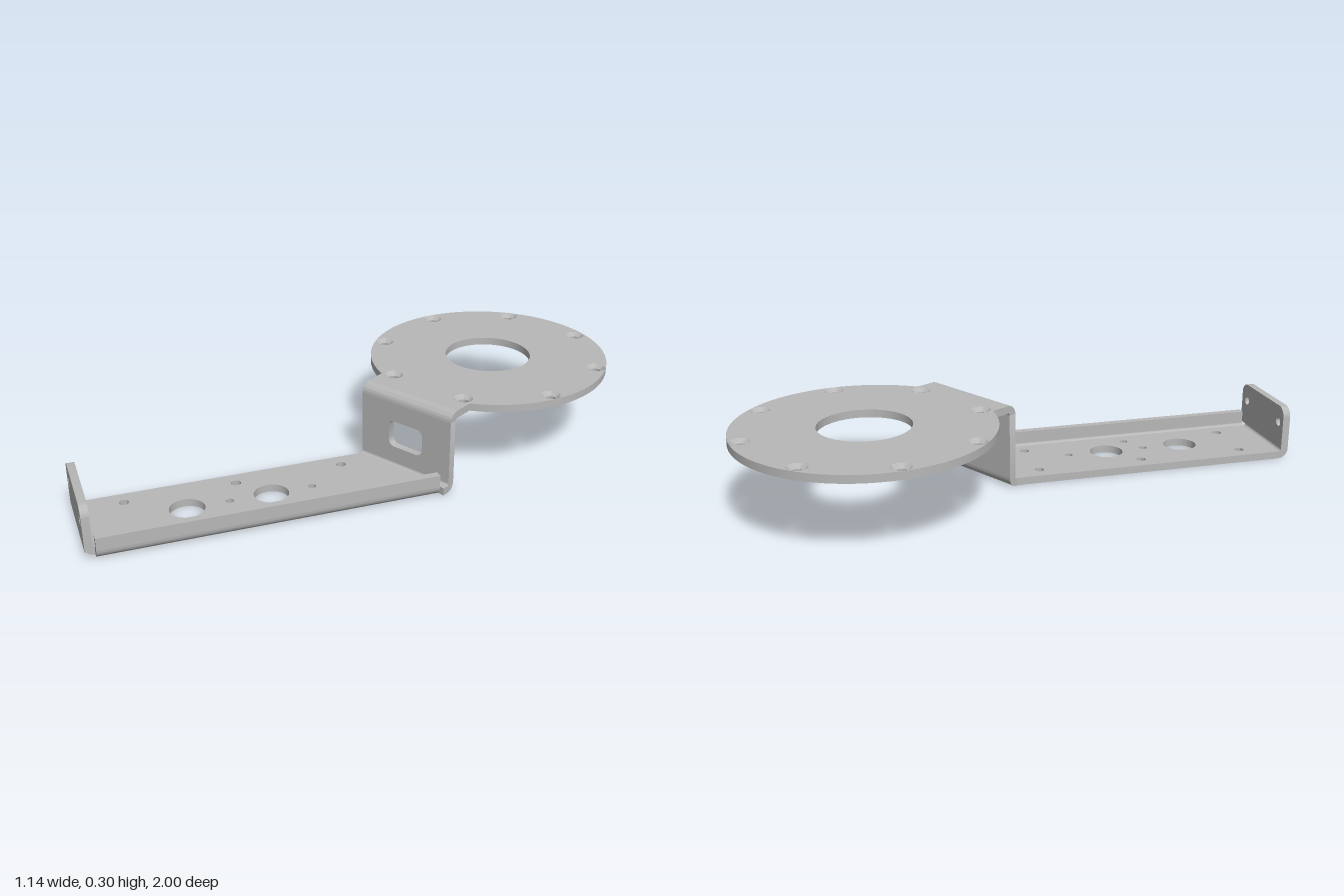
import * as THREE from 'three';
import { toCreasedNormals } from 'three/addons/utils/BufferGeometryUtils.js';

const T = 0.027, RO = 0.035, RI = RO - T; // sheet thickness, bend radii
const Q = Math.PI / 2;

const outline = (pts) => new THREE.Shape(pts.map(([x, y]) => new THREE.Vector2(x, y)));

function punch(shape, x, y, r) {
  const hole = new THREE.Path();
  hole.absarc(x, y, r, 0, Math.PI * 2, true);
  shape.holes.push(hole);
}

// Rectangle with separate corner radii at the bottom and the top
function roundedRect(path, x0, y0, x1, y1, rb, rt) {
  path.moveTo(x0 + rb, y0);
  path.lineTo(x1 - rb, y0);
  if (rb) path.absarc(x1 - rb, y0 + rb, rb, -Q, 0, false);
  path.lineTo(x1, y1 - rt);
  path.absarc(x1 - rt, y1 - rt, rt, 0, Q, false);
  path.lineTo(x0 + rt, y1);
  path.absarc(x0 + rt, y1 - rt, rt, Q, 2 * Q, false);
  path.lineTo(x0, y0 + rb);
  if (rb) path.absarc(x0 + rb, y0 + rb, rb, 2 * Q, 3 * Q, false);
  return path;
}

const extrude = (shape, depth, curveSegments = 24) =>
  new THREE.ExtrudeGeometry(shape, { depth, bevelEnabled: false, curveSegments });

// Quarter-ring sheet bend, starting at angle a, extruded along z
function bend(a, length) {
  const s = new THREE.Shape();
  s.absarc(0, 0, RO, a, a + Q, false);
  s.absarc(0, 0, RI, a + Q, a, true);
  return extrude(s, length, 10);
}

export function createModel() {
  const model = new THREE.Group();
  model.name = 'bracket';
  const metal = new THREE.MeshStandardMaterial({ color: 0xb8b8b8 });
  metal.name = 'grey metal';

  const add = (parent, name, geo, x = 0, y = 0, z = 0) => {
    const mesh = new THREE.Mesh(toCreasedNormals(geo, 0.6), metal);
    mesh.name = name;
    mesh.position.set(x, y, z);
    parent.add(mesh);
    return mesh;
  };
  // Flat plates are drawn in (x, -z) and laid down
  const lay = (shape, depth) => extrude(shape, depth, 48).rotateX(-Q);

  // Round mounting plate with its neck, in two layers for the countersinks
  const cx = 0.135, cz = -0.57, R = 0.432;
  const left = -0.055, right = 0.328, width = right - left;
  const screws = [...Array(8)].map((_, i) => {
    const a = (i + 0.5) * Math.PI / 4;
    return [cx + 0.397 * Math.cos(a), cz + 0.397 * Math.sin(a)];
  });
  const mountLayer = (r) => {
    const s = new THREE.Shape();
    const a0 = -Math.acos((right - cx) / R), a1 = Math.PI + Math.acos((cx - left) / R);
    s.moveTo(left, 0.112);
    s.lineTo(right, 0.112);
    s.absarc(cx, -cz, R, a0, a1, false);
    s.closePath();
    punch(s, cx, -cz, 0.155);
    screws.forEach(([x, z]) => punch(s, x, -z, r));
    return lay(s, T / 2);
  };
  add(model, 'mountPlateLower', mountLayer(0.018), 0, 0.3 - T, 0);
  add(model, 'mountPlateUpper', mountLayer(0.033), 0, 0.3 - T / 2, 0);
  // Countersink cones, facing inwards
  const cone = new THREE.LatheGeometry(
    [new THREE.Vector2(0.033, T / 2), new THREE.Vector2(0.018, 0)], 32);
  screws.forEach(([x, z]) => add(model, 'countersink', cone, x, 0.3 - T / 2, z));

  // Upright web with a window, and the bends above and below it
  const web = roundedRect(new THREE.Shape(), left, 0.035, right, 0.265, 0, 0.0001);
  web.holes.push(roundedRect(new THREE.Path(), 0.065, 0.097, 0.21, 0.195, 0.024, 0.024));
  add(model, 'web', extrude(web, T), 0, 0, -0.077 - T);
  add(model, 'upperBend', bend(Q, width).rotateY(Q), left, 0.265, -0.112);
  add(model, 'lowerBend', bend(-Q, width).rotateY(Q), left, RO, -0.069);

  // Arm frame: u across, v along, turned 30 degrees
  const arm = new THREE.Group();
  arm.name = 'arm';
  arm.rotation.y = -Math.PI / 6;
  model.add(arm);
  const C = Math.cos(Math.PI / 6), S = 0.5;
  const uv = (u, v) => [u * C - v * S, -(u * S + v * C)];
  const u0 = -0.08, u1 = 0.224, v0 = -0.193, v1 = 0.965;

  // Base plate with its holes
  const base = outline([
    [left, 0.069], uv(u0, 0), uv(u0, v1), uv(u1, v1), uv(u1, v0),
    [0.3, 0.054], [right, 0.05], [right, 0.069],
  ]);
  [
    [-0.1, 0.35, 0.06], [-0.245, 0.6, 0.06],
    [-0.053, 0.045, 0.017], [0.115, 0.14, 0.017], [-0.243, 0.377, 0.017],
    [-0.435, 0.71, 0.017], [-0.268, 0.805, 0.017],
    [-0.028, 0.225, 0.014], [-0.172, 0.475, 0.014], [-0.078, 0.475, 0.014],
  ].forEach(([x, z, r]) => punch(base, x, -z, r));
  add(model, 'basePlate', lay(base, T));

  // Low stiffening flange along the side
  const length = v1 - v0;
  add(arm, 'sideBend', bend(-Q, length), u1, RO, v0);
  add(arm, 'sideFlange', new THREE.BoxGeometry(T, 0.045, length),
    u1 + RI + T / 2, 0.0575, (v0 + v1) / 2);

  // Taller end plate with two holes
  add(arm, 'endBend', bend(Math.PI, 0.3).rotateY(Q), u0, RO, v1);
  const end = roundedRect(new THREE.Shape(), u0, RO, 0.257, 0.192, 0, 0.037);
  punch(end, -0.043, 0.13, 0.016);
  punch(end, 0.216, 0.13, 0.016);
  add(arm, 'endPlate', extrude(end, T), 0, 0, v1 + RI);

  return model;
}
